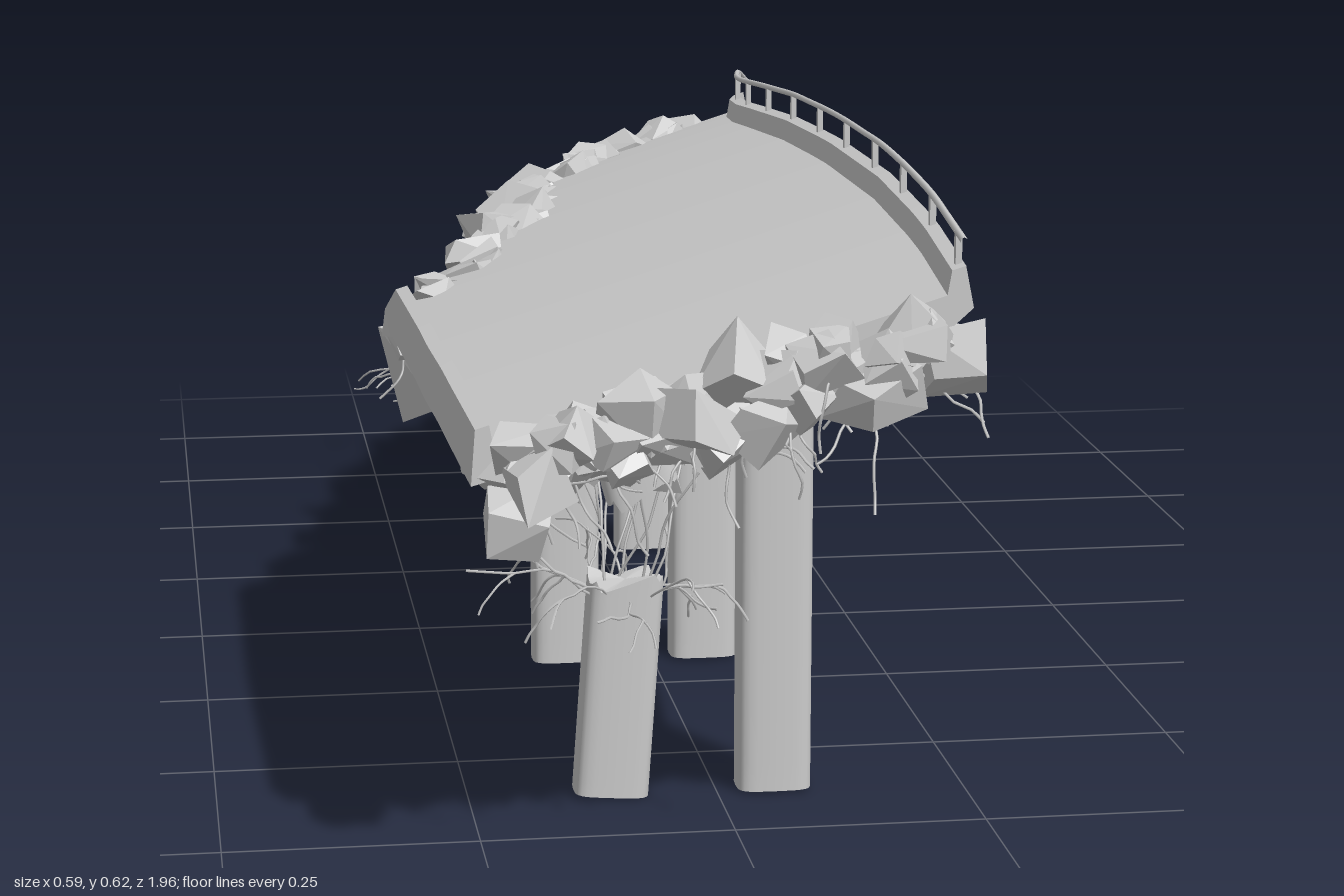
import * as THREE from 'three';
import { toCreasedNormals, mergeGeometries } from 'three/addons/utils/BufferGeometryUtils.js';
import { ConvexGeometry } from 'three/addons/geometries/ConvexGeometry.js';

const SLOPE = 0.31, BREAK_Z = 0.09, FRONT = 0.89, BACK = -0.97;
const V = (x, y, z) => new THREE.Vector3(x, y, z);

// Seeded random numbers
let seed = 11;
const rnd = (a = 0, b = 1) => {
  seed = (seed * 16807) % 2147483647;
  return a + (b - a) * (seed / 2147483647);
};

// Straight interpolation through [z, value] pairs, z falling
const along = (table) => (z) => {
  let i = 0;
  while (i < table.length - 2 && z < table[i + 1][0]) i++;
  const [z0, v0] = table[i], [z1, v1] = table[i + 1];
  return THREE.MathUtils.lerp(v0, v1, THREE.MathUtils.clamp((z - z0) / (z1 - z0), 0, 1));
};
const rightX = along([[0.92, 0.19], [0.7, 0.207], [0.4, 0.22], [0, 0.227], [-0.45, 0.228], [-0.62, 0.234], [-0.8, 0.254], [-0.97, 0.288]]);
const leftX = along([[0.92, -0.268], [0.5, -0.28], [BREAK_Z, -0.285], [0.07, -0.235], [-0.05, -0.175], [-0.25, -0.115], [-0.45, -0.085], [-0.6, -0.045], [-0.75, 0.04], [-0.88, 0.135], [-0.97, 0.205]]);
const edgeY = along([[0.92, 0.528], [0.62, 0.536], [0.4, 0.535], [0.1, 0.524], [-0.2, 0.505], [-0.45, 0.482], [-0.7, 0.455], [-0.97, 0.425]]);
const underY = (x, z) => edgeY(z) + SLOPE * (x - rightX(z));

const grey = new THREE.MeshStandardMaterial({ color: 0xcccccc });
const faceted = new THREE.MeshStandardMaterial({ color: 0xcccccc, flatShading: true });

function add(parent, name, geo, mat = grey) {
  const mesh = new THREE.Mesh(geo, mat);
  mesh.name = name;
  parent.add(mesh);
  return mesh;
}

// Skin a list of equal closed cross-sections, capping both ends
function loft(sections) {
  const n = sections[0].length, index = [];
  for (let s = 0; s < sections.length - 1; s++)
    for (let i = 0; i < n; i++) {
      const a = s * n + i, b = s * n + (i + 1) % n;
      index.push(a, a + n, b, b, a + n, b + n);
    }
  const cap = (base, sec, flip) =>
    THREE.ShapeUtils.triangulateShape(sec.map((p) => new THREE.Vector2(p.x, p.y)), [])
      .forEach(([a, b, c]) => index.push(...(flip ? [base + a, base + c, base + b] : [base + a, base + b, base + c])));
  cap(0, sections[0], false);
  cap((sections.length - 1) * n, sections.at(-1), true);
  const geo = new THREE.BufferGeometry().setFromPoints(sections.flat());
  geo.setIndex(index);
  return toCreasedNormals(geo, 0.4);
}

// Slab with a raised kerb on each edge; the left edge is torn behind BREAK_Z
function deck() {
  const sections = [];
  for (let i = 0; i <= 72; i++) {
    const z = THREE.MathUtils.lerp(FRONT, BACK, i / 72), torn = z < BREAK_Z;
    const R = rightX(z), L = leftX(z) + (torn ? rnd(-0.012, 0.018) : 0), h = torn ? 0.03 : 0.052;
    sections.push([[L, 0], [R - 0.02, -0.004], [R + 0.004, 0.01], [R - 0.004, 0.052], [R - 0.017, 0.052], [R - 0.021, 0.03],
      [L + 0.021, 0.03], [L + 0.017, h], [L + 0.004, h]].map(([x, y]) => V(x, underY(x, z) + y, z)));
  }
  return loft(sections);
}

// Sloping cap beam, its ends cut back underneath
function crossbeam(x0, x1, z) {
  const s = new THREE.Shape([[x0, 0.01], [x0, -0.018], [x0 + 0.03, -0.045], [x1 - 0.03, -0.045], [x1, -0.018], [x1, 0.01]]
    .map(([x, y]) => new THREE.Vector2(x, underY(x, z) + y)));
  return new THREE.ExtrudeGeometry(s, { depth: 0.05, bevelEnabled: false }).translate(0, 0, z - 0.025);
}

// Pier with rounded corners, optional jagged ends and a bite [y0, y1, dirX, dirZ]
function pier(h, jagTop = 0, jagBase = 0, bite) {
  const geo = new THREE.CylinderGeometry(1, 1, h, 24, 16).translate(0, h / 2, 0);
  const p = geo.attributes.position, soft = (v) => Math.sign(v) * Math.sqrt(Math.abs(v));
  for (let i = 0; i < p.count; i++) {
    let x = p.getX(i), y = p.getY(i), z = p.getZ(i), k = 1;
    const wave = Math.sin(x * 4 + z * 7) + 0.6 * Math.sin(z * 11 - x * 5);
    if (bite && y > bite[0] && y < bite[1] && x * bite[2] + z * bite[3] > 0.1) k = 0.55 + 0.08 * Math.sin(y * 130 + x * 5);
    if (y > h - 1e-4) y += jagTop * wave;
    if (y < 1e-4) y += jagBase * wave;
    p.setXYZ(i, soft(x) * 0.0375 * k, y, soft(z) * 0.026 * k);
  }
  return toCreasedNormals(geo, 0.6);
}

// Broken concrete lump: hull of a shaken box
function chunk(pos, sx, sy, sz, tilt = 0.7) {
  const pts = [];
  for (const x of [-1, 1]) for (const y of [-1, 1]) for (const z of [-1, 1])
    pts.push(V(x * sx * rnd(0.25, 0.6), y * sy * rnd(0.3, 0.6), z * sz * rnd(0.25, 0.6)));
  const geo = new ConvexGeometry(pts);
  geo.rotateY(rnd(0, 6.28)).rotateX(rnd(-tilt, tilt)).rotateZ(rnd(-tilt, tilt) + 0.3);
  return geo.translate(pos.x, pos.y, pos.z);
}

// Bent reinforcing bar, wandering from a start point
function bar(start, dir, length, bend = 0.5, sag = 0.1, r = 0.0014) {
  const pts = [start.clone()], d = dir.clone().normalize();
  for (let i = 0; i < 6; i++) {
    d.add(V(rnd(-bend, bend), rnd(-bend, bend) - sag, rnd(-bend, bend))).normalize();
    pts.push(pts.at(-1).clone().addScaledVector(d, length / 6));
  }
  return { geo: new THREE.TubeGeometry(new THREE.CatmullRomCurve3(pts), 12, r, 4), pts };
}

// Spray of bars with side twigs out of a broken pier
function spray(x, y, z, count, length) {
  const out = [];
  for (let i = 0; i < count; i++) {
    const a = (i / count) * 6.28 + rnd(-0.2, 0.2);
    const main = bar(V(x + Math.cos(a) * 0.025, y - 0.02, z + Math.sin(a) * 0.017),
      V(Math.cos(a), rnd(0.3, 1.1), Math.sin(a)), length * rnd(0.5, 1.1), 0.35, 0.12);
    out.push(main.geo);
    for (const k of [2, 4]) out.push(bar(main.pts[k], V(Math.cos(a + rnd(-1, 1)), rnd(-0.7, 0.5), Math.sin(a + rnd(-1, 1))), length * 0.35, 0.35).geo);
  }
  return mergeGeometries(out);
}

export function createModel() {
  seed = 11;
  const model = new THREE.Group();
  model.name = 'brokenBridge';
  add(model, 'deck', deck());

  // Handrail on the right kerb
  const railing = new THREE.Group();
  railing.name = 'railing';
  model.add(railing);
  const railPoint = (z, up) => V(rightX(z) - 0.009, edgeY(z) + up, z);
  const railPts = [];
  for (let z = 0.91; z > -0.96; z -= 0.11) railPts.push(railPoint(z, 0.078));
  railPts.push(V(0.29, 0.49, -0.985));
  add(railing, 'handrail', new THREE.TubeGeometry(new THREE.CatmullRomCurve3(railPts), 60, 0.0035, 6));
  for (let i = 0; i < 11; i++) {
    const p = railPoint(0.87 - i * 0.178, 0.063);
    add(railing, 'railPost', new THREE.BoxGeometry(0.006, 0.032, 0.008)).position.copy(p);
  }

  // Cap beams and piers, front row to back row
  const XR = 0.058, XL = -0.0975;
  const rows = [
    { z: 0.62, end: -0.2, left: 0.22, lean: -0.07 },
    { z: 0.145, end: -0.2, biteL: [0.24, 0.37, -1, -0.4] },
    { z: -0.335, end: -0.075, left: 0.23, biteR: [0.14, 0.32, 0.6, 1] },
    { z: -0.745, end: 0.015, left: 0.13, biteR: [0.12, 0.3, -0.8, -1] },
  ];
  const cage = [];
  const bareBars = (x, z, [y0, y1, dx, dz]) => {
    for (let i = -3; i <= 3; i++) {
      const a = Math.atan2(dz, dx) + i * 0.35;
      cage.push(bar(V(x + Math.cos(a) * 0.034, y0 - 0.01, z + Math.sin(a) * 0.024), V(0, 1, 0), y1 - y0 + 0.02, 0.12, 0, 0.002).geo);
    }
  };
  for (const { z, end, left, lean = 0, biteL, biteR } of rows) {
    add(model, 'crossbeam', crossbeam(end, 0.15, z));
    add(model, 'rightPier', pier(underY(XR, z) - 0.025, 0, 0, biteR)).position.set(XR, 0, z);
    const leftPier = add(model, left ? 'brokenPier' : 'leftPier', pier(left ?? underY(XL, z) - 0.025, left ? 0.008 : 0, 0, biteL));
    leftPier.position.set(lean ? -0.107 : XL, 0, z);
    leftPier.rotation.z = lean;
    if (biteL) bareBars(XL, z, biteL);
    if (biteR) bareBars(XR, z, biteR);
  }
  add(model, 'bareReinforcement', mergeGeometries(cage));

  // Hanging stub above the leaning front pier
  const stub = add(model, 'pierStub', pier(0.1, 0, 0.01));
  stub.position.set(-0.075, 0.31, 0.62);
  stub.rotation.z = 0.25;
  add(model, 'frontPierBars', spray(-0.09, 0.22, 0.62, 9, 0.17));
  add(model, 'midPierBars', spray(XL, 0.23, -0.335, 8, 0.1));
  add(model, 'backPierBars', spray(XL, 0.13, -0.745, 9, 0.2));
  const links = [];
  for (let i = 0; i < 10; i++) links.push(bar(V(-0.09 + rnd(-0.03, 0.03), 0.2, 0.62 + rnd(-0.02, 0.02)), V(0.1, 1, 0), 0.15, 0.25, 0).geo);
  add(model, 'stubBars', mergeGeometries(links));

  // Rubble and loose bars along the torn left edge
  const rubble = [], bars = [];
  for (let i = 0; i < 95; i++) {
    const z = THREE.MathUtils.lerp(BREAK_Z, -0.95, (i + rnd()) / 95), x = leftX(z) + rnd(-0.025, 0.02);
    const low = i % 3 === 0 && z > -0.85;
    const y = underY(x, z) + (low ? rnd(-0.045, -0.01) : rnd(0.005, 0.034)), s = rnd(0.035, 0.085);
    rubble.push(chunk(V(x + (low ? 0.02 : 0), y, z), s, s * rnd(0.35, 0.7), s * rnd(0.7, 1.2), low ? 1 : 0.5));
    const from = V(x + 0.02, y - 0.01, z);
    bars.push(bar(from, V(rnd(-1, 0.4), rnd(-1.2, 0), rnd(-0.6, 0.6)), rnd(0.04, 0.12), 0.5, 0.15).geo);
  }
  // Large slabs hanging at the start of the tear
  rubble.push(chunk(V(-0.245, 0.315, 0.06), 0.09, 0.11, 0.07, 0.2), chunk(V(-0.205, 0.335, 0.02), 0.07, 0.09, 0.07, 0.3));
  add(model, 'sideRubble', mergeGeometries(rubble), faceted);

  // Rubble and loose bars across the broken front end
  const front = [];
  for (let i = 0; i < 42; i++) {
    const x = THREE.MathUtils.lerp(-0.245, 0.185, (i + rnd()) / 42), z = FRONT + rnd(-0.01, 0.035);
    const s = rnd(0.04, 0.08), y = underY(x, FRONT) + rnd(-0.04, 0.022);
    front.push(chunk(V(x, y, z), s, s * rnd(0.5, 0.8), s * 0.8));
    bars.push(bar(V(x, y - 0.01, z - 0.01), V(rnd(-0.6, 0.6), rnd(-1, 0), rnd(0, 0.8)), rnd(0.04, 0.11), 0.5, 0.15).geo);
  }
  add(model, 'frontRubble', mergeGeometries(front), faceted);
  add(model, 'looseBars', mergeGeometries(bars));
  return model;
}
